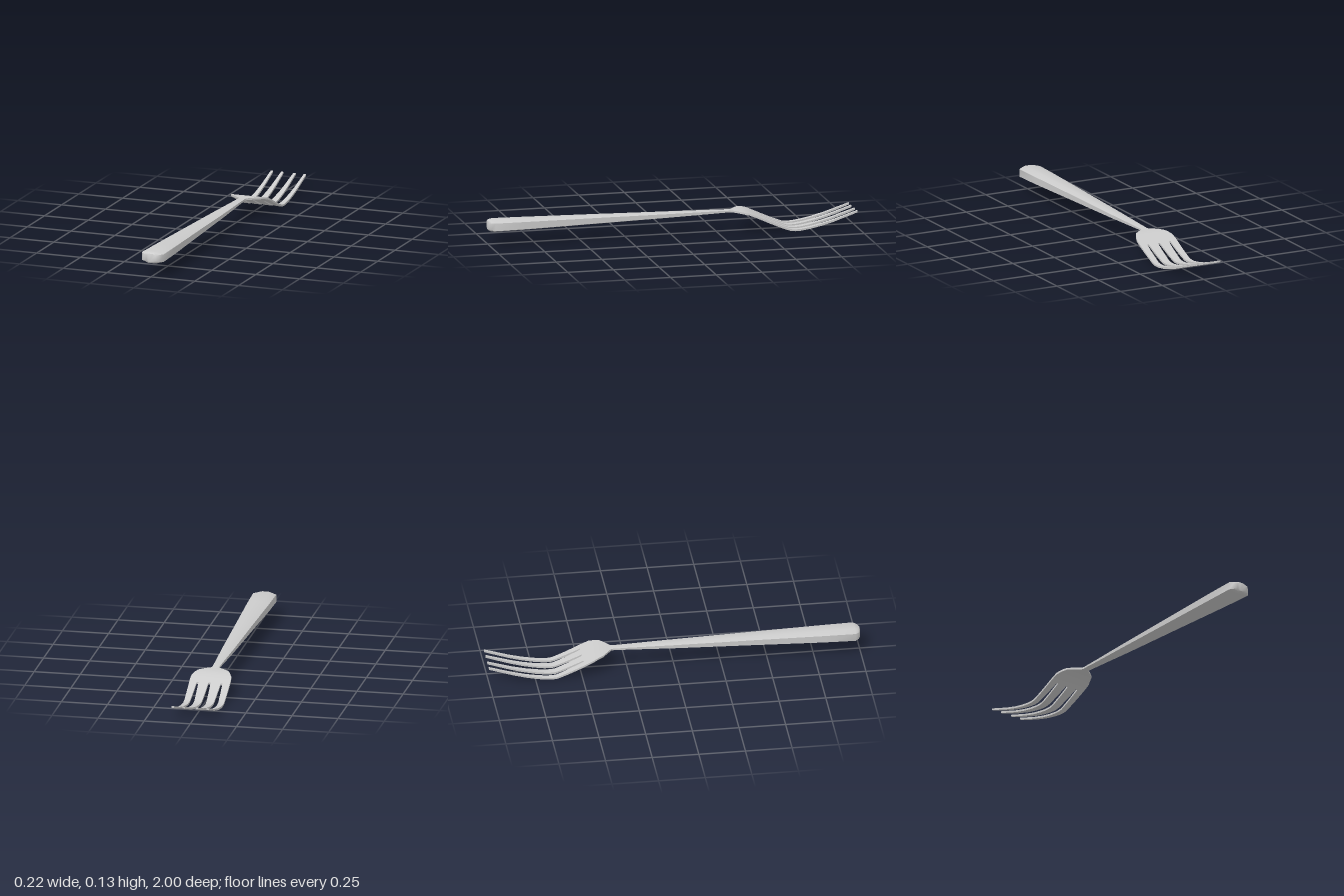
import * as THREE from 'three';
import { toCreasedNormals, mergeGeometries } from 'three/addons/utils/BufferGeometryUtils.js';

// Skin a list of equal-length loops (counter-clockwise from +z, running towards -z).
function loft(sections, capFront = true) {
  const n = sections[0].length, pos = sections.flat(2), idx = [];
  const last = (sections.length - 1) * n;
  for (let i = 0; i < last; i += n) {
    for (let j = 0; j < n; j++) {
      const k = (j + 1) % n;
      idx.push(i + j, i + n + j, i + n + k, i + j, i + n + k, i + k);
    }
  }
  for (let j = 1; j < n - 1; j++) {
    if (capFront) idx.push(0, j, j + 1);
    idx.push(last, last + j + 1, last + j);
  }
  const g = new THREE.BufferGeometry();
  g.setAttribute('position', new THREE.Float32BufferAttribute(pos, 3));
  g.setIndex(idx);
  return g;
}

// Linear lookup in rows of [z, value], z descending.
function lookup(rows, z) {
  for (let i = 1; i < rows.length; i++) {
    const [z0, a] = rows[i - 1], [z1, b] = rows[i];
    if (z >= z1) return a + (b - a) * (z - z0) / (z1 - z0);
  }
  return rows[rows.length - 1][1];
}

// Side curve of the head: [z, mid height]
const CURVE = [
  [-0.32, 0.107], [-0.36, 0.1075], [-0.385, 0.106], [-0.41, 0.102], [-0.44, 0.092], [-0.47, 0.078],
  [-0.49, 0.069], [-0.52, 0.055], [-0.57, 0.033], [-0.61, 0.017], [-0.635, 0.008], [-0.66, 0.0055],
  [-0.69, 0.0065], [-0.74, 0.0135], [-0.8, 0.026], [-0.87, 0.045], [-0.94, 0.068], [-1, 0.088],
];
const ROOT = -0.49;
const HALF_THICK = 0.005;

// Flat rectangular section of the head between two x values.
function slab(z, x0, x1) {
  const y = lookup(CURVE, z);
  const slope = (lookup(CURVE, z + 0.01) - lookup(CURVE, z - 0.01)) / 0.02;
  const h = HALF_THICK * Math.hypot(1, slope);
  return [[x0, y - h, z], [x1, y - h, z], [x1, y + h, z], [x0, y + h, z]];
}

// Eight-sided handle section with flat sides and gently crowned top and bottom.
function handleSection([z, w, bottom, top]) {
  const h = top - bottom, f = w * 0.4;
  const lo = bottom + h * 0.18, hi = top - h * 0.17;
  return [[-f, bottom], [f, bottom], [w, lo], [w, hi], [f, top], [-f, top], [-w, hi], [-w, lo]]
    .map(([x, y]) => [x, y, z]);
}

export function createModel() {
  const model = new THREE.Group();
  model.name = 'fork';
  const metal = new THREE.MeshStandardMaterial({ color: 0xcccccc });
  const add = (name, geometry, crease) => {
    const mesh = new THREE.Mesh(toCreasedNormals(geometry, crease), metal);
    mesh.name = name;
    model.add(mesh);
  };

  // Handle: [z, half width, bottom, top], tapering to the neck
  add('handle', loft([
    [1, 0.026, 0.08, 0.127],
    [0.992, 0.044, 0.074, 0.132],
    [0.972, 0.063, 0.071, 0.135],
    [0.8, 0.059, 0.073, 0.133],
    [0.4, 0.045, 0.082, 0.127],
    [0, 0.032, 0.091, 0.12],
    [-0.25, 0.021, 0.098, 0.116],
    [-0.33, 0.019, 0.101, 0.114],
    [-0.365, 0.018, 0.1045, 0.11],
  ].map(handleSection)), 0.9);

  // Head body: plan half widths from the neck shoulders to the slot roots
  const outline = [[-0.32, 0.018], [-0.335, 0.022], [-0.36, 0.054], [-0.385, 0.083],
    [-0.41, 0.095], [-0.44, 0.108], [-0.47, 0.11], [ROOT, 0.11]];
  const pieces = [loft(outline.map(([z, w]) => slab(z, -w, w)))];

  // Four tines: [inner edge, outer edge] at the root, at the bend and at the tip
  const edges = [
    [[0.006, 0.013, 0.028], [0.06, 0.053, 0.042]],
    [[0.07, 0.077, 0.088], [0.11, 0.108, 0.101]],
  ];
  const stations = [ROOT, -0.64, -1];
  for (const [inner, outer] of edges) {
    const at = (edge, z) => lookup(stations.map((s, i) => [s, edge[i]]), z);
    for (const side of [1, -1]) {
      pieces.push(loft(CURVE.filter(([z]) => z <= ROOT).map(([z]) => {
        const a = at(inner, z), b = at(outer, z);
        return side > 0 ? slab(z, a, b) : slab(z, -b, -a);
      }), false));
    }
  }
  add('headAndTines', mergeGeometries(pieces), 0.7);
  return model;
}
